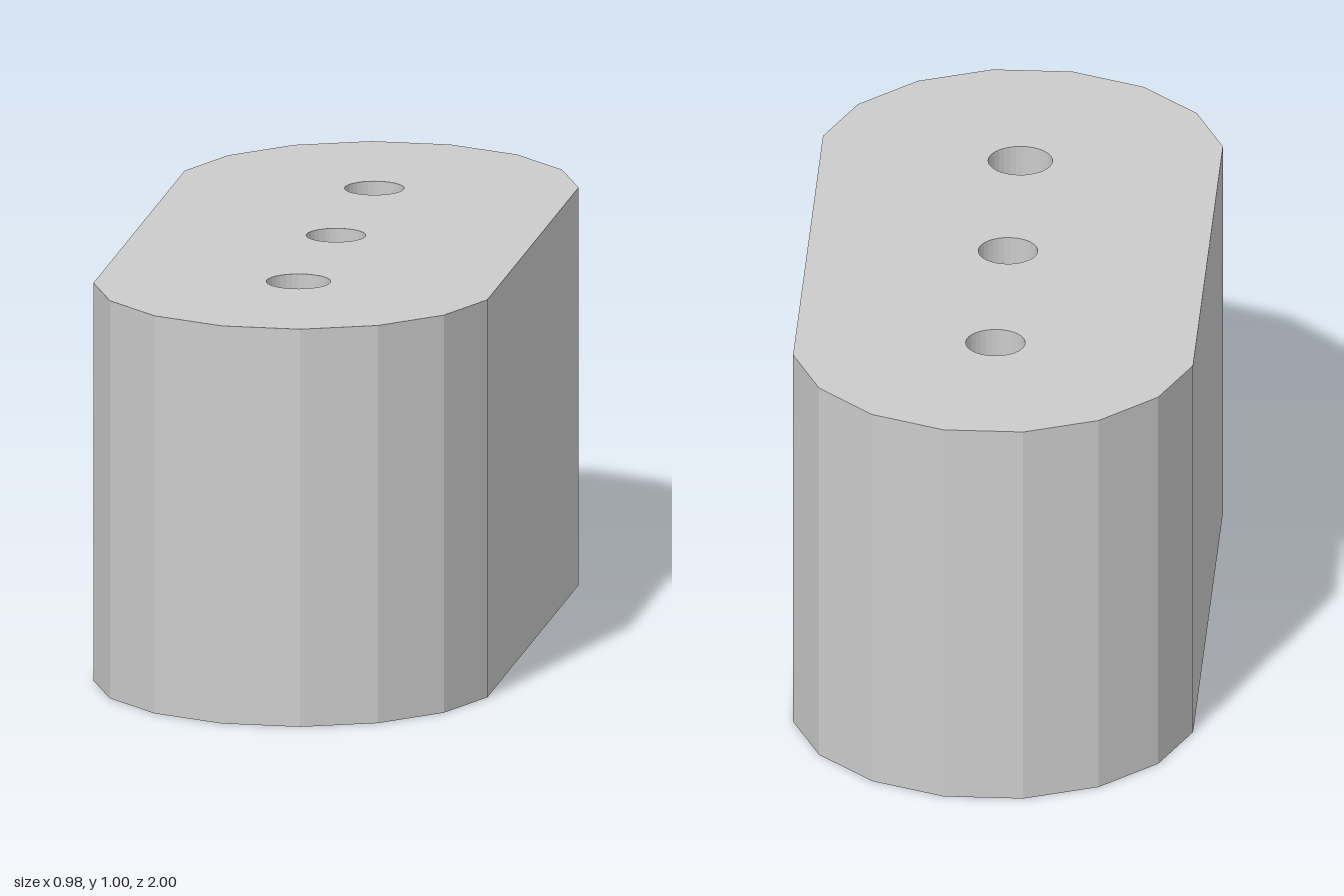
import * as THREE from 'three';

const HEIGHT = 1, RADIUS = 0.5, SIDES = 16, SHIFT = 0.51, HOLE_DEPTH = 0.3;
const HOLES = [
  { name: 'backHole', z: -0.51, r: 0.073 },
  { name: 'middleHole', z: 0.0, r: 0.073 },
  { name: 'frontHole', z: 0.5, r: 0.079 },
];

export function createModel() {
  const model = new THREE.Group();
  const material = new THREE.MeshStandardMaterial({
    color: 0xcccccc, flatShading: true, side: THREE.DoubleSide,
  });
  const add = (name, geometry, parent = model) => {
    const mesh = new THREE.Mesh(geometry, material);
    mesh.name = name;
    parent.add(mesh);
    return mesh;
  };

  // Thin outer wall, open below: a 16-sided tube pulled apart along z
  const wall = new THREE.CylinderGeometry(RADIUS, RADIUS, HEIGHT, SIDES, 1, true, Math.PI / SIDES);
  const pos = wall.attributes.position;
  for (let i = 0; i < pos.count; i++) pos.setZ(i, pos.getZ(i) + Math.sign(pos.getZ(i)) * SHIFT);
  wall.translate(0, HEIGHT / 2, 0);
  add('outerWall', wall);

  // Top plate with the same outline and three round holes
  const outline = [];
  for (let i = 0; i < SIDES; i++) {
    const a = (i + 0.5) * 2 * Math.PI / SIDES;
    const y = RADIUS * Math.sin(a);
    outline.push(new THREE.Vector2(RADIUS * Math.cos(a), y + Math.sign(y) * SHIFT));
  }
  const shape = new THREE.Shape(outline);
  for (const { z, r } of HOLES) {
    shape.holes.push(new THREE.Path().absarc(0, -z, r, 0, Math.PI * 2, true));
  }
  const top = new THREE.ShapeGeometry(shape, 16).rotateX(-Math.PI / 2).translate(0, HEIGHT, 0);
  add('topPlate', top);

  // Blind round sockets under the holes
  for (const { name, z, r } of HOLES) {
    const hole = new THREE.Group();
    hole.name = name;
    hole.position.set(0, HEIGHT, z);
    add('socketWall', new THREE.CylinderGeometry(r, r, HOLE_DEPTH, 32, 1, true)
      .translate(0, -HOLE_DEPTH / 2, 0), hole);
    add('socketFloor', new THREE.CircleGeometry(r, 32)
      .rotateX(-Math.PI / 2).translate(0, -HOLE_DEPTH, 0), hole);
    model.add(hole);
  }
  return model;
}
